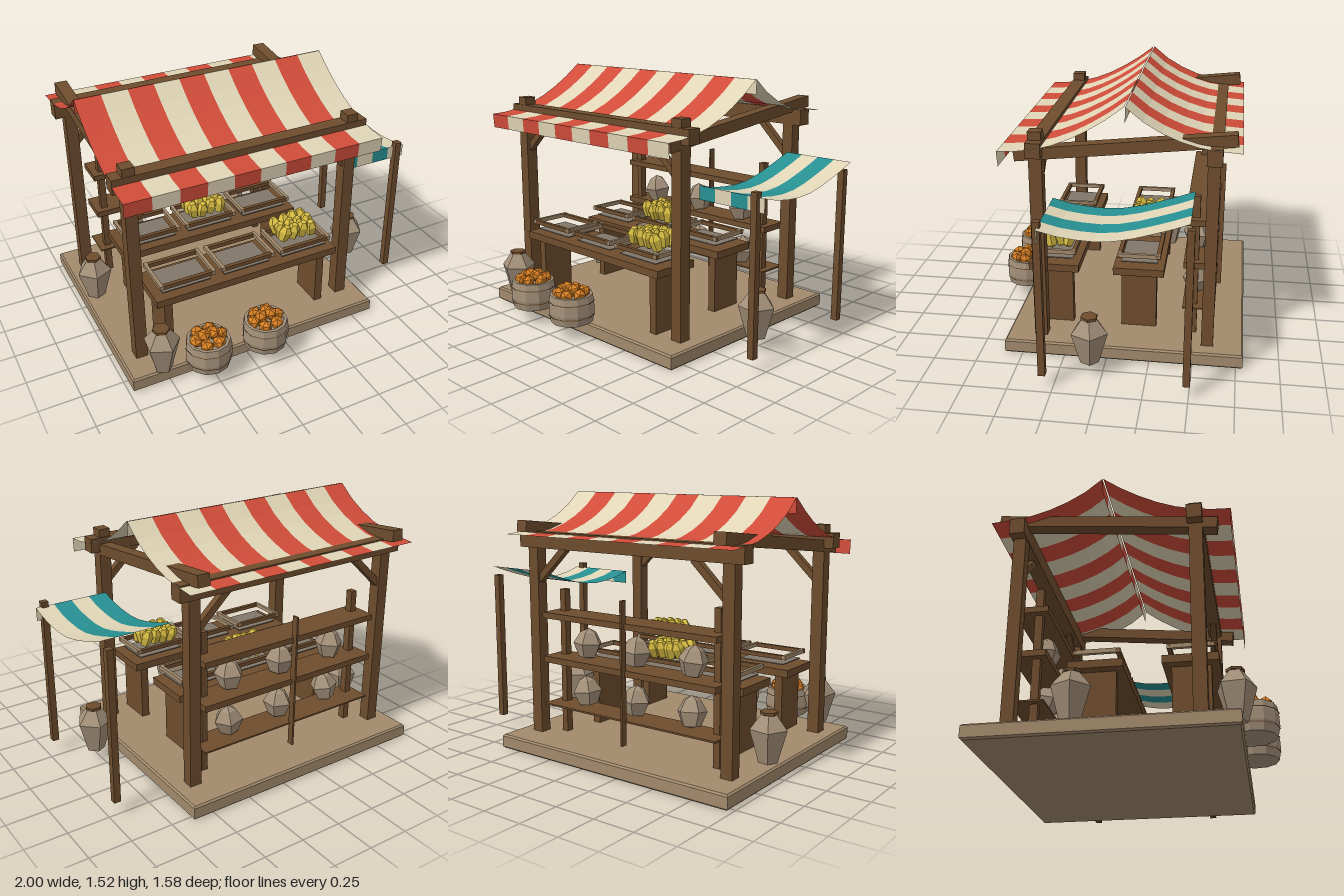
import * as THREE from 'three';

export function createModel() {
  const root = new THREE.Group();
  root.name = 'marketStall';

  const mat = (name, color, double = false) => {
    const m = new THREE.MeshStandardMaterial({ color });
    m.name = name;
    if (double) m.side = THREE.DoubleSide;
    return m;
  };
  const wood = mat('dark wood', 0x6e4d2e);
  const paleWood = mat('pale wood', 0xa28a6c);
  const clay = mat('clay', 0xa39079);
  const net = mat('tray net', 0x81766a);
  const red = mat('red cloth', 0xd04c39, true);
  const cream = mat('cream cloth', 0xe0d5b6, true);
  const teal = mat('teal cloth', 0x279092, true);
  const orange = mat('orange fruit', 0xd98023);
  const yellow = mat('yellow fruit', 0xd8bd42);

  let seed = 7;
  const rnd = () => (seed = (seed * 16807) % 2147483647) / 2147483647;

  const add = (name, geo, material, parent = root) => {
    const m = new THREE.Mesh(geo, material);
    m.name = name;
    parent.add(m);
    return m;
  };
  const group = (name) => {
    const g = new THREE.Group();
    g.name = name;
    root.add(g);
    return g;
  };
  // Box given by its limits on each axis
  const box = (name, x0, x1, y0, y1, z0, z1, material = wood, parent = root) => {
    const m = add(name, new THREE.BoxGeometry(x1 - x0, y1 - y0, z1 - z0), material, parent);
    m.position.set((x0 + x1) / 2, (y0 + y1) / 2, (z0 + z1) / 2);
    return m;
  };
  const flat = (geo) => {
    const g = geo.index ? geo.toNonIndexed() : geo;
    g.computeVertexNormals();
    return g;
  };
  // Faceted turned body from [radius, y] pairs
  const turned = (profile, sides) =>
    flat(new THREE.LatheGeometry(profile.map(([r, y]) => new THREE.Vector2(r, y)), sides));

  // Striped cloth: a [z, y] profile run from front to back, cut into stripes along x
  const cloth = (name, profile, x0, x1, count, colours) => {
    const g = group(name);
    const w = (x1 - x0) / count;
    for (let s = 0; s < count; s++) {
      const a = x0 + s * w, b = a + w, pos = [], idx = [];
      profile.forEach(([z, y], i) => {
        pos.push(a, y, z, b, y, z);
        if (i) idx.push(2 * i - 2, 2 * i - 1, 2 * i + 1, 2 * i - 2, 2 * i + 1, 2 * i);
      });
      const geo = new THREE.BufferGeometry();
      geo.setAttribute('position', new THREE.Float32BufferAttribute(pos, 3));
      geo.setIndex(idx);
      add(name + 'Stripe', flat(geo), colours[s % 2], g);
    }
  };

  // Floor with a slightly bevelled rim
  const outline = new THREE.Shape([[-0.965, -0.595], [0.62, -0.595], [0.62, 0.78], [-0.965, 0.78]]
    .map(([x, y]) => new THREE.Vector2(x, y)));
  const floor = add('floor', new THREE.ExtrudeGeometry(outline, {
    depth: 0.065, bevelEnabled: true, bevelSize: 0.01, bevelThickness: 0.01, bevelSegments: 1,
  }), paleWood);
  floor.rotation.x = -Math.PI / 2;
  floor.position.y = 0.01;

  // Frame: posts, sloping rafters, cross beams, braces
  for (const x of [-0.855, 0.505]) {
    box('frontPost', x - 0.036, x + 0.036, 0.08, 1.345, 0.365, 0.44);
    box('rearPost', x - 0.036, x + 0.036, 0.08, 1.3, -0.615, -0.545);
    const rafter = add('rafter', new THREE.BoxGeometry(0.075, 0.068, 1.23), wood);
    rafter.position.set(x, 1.273, -0.09);
    rafter.rotation.x = 0.11;
    const s = x < 0 ? 1 : -1;
    for (const z of [0.4, -0.58]) {
      const brace = add('brace', new THREE.BoxGeometry(0.29, 0.04, 0.04), wood);
      brace.position.set(x + s * 0.125, 1.115, z);
      brace.rotation.z = s * 0.76;
    }
  }
  box('frontBeam', -0.95, 0.6, 1.21, 1.297, 0.358, 0.443);
  box('rearBeam', -0.95, 0.6, 1.21, 1.306, -0.625, -0.54);

  // Canopy: two sagging halves meeting at the ridge, each with a hanging edge
  cloth('frontCanopy', [[0.594, 1.16], [0.6, 1.245], [0.5, 1.25], [0.4, 1.265], [0.3, 1.29], [0.2, 1.33],
    [0.1, 1.382], [0, 1.445], [-0.1, 1.52]], -0.95, 0.605, 10, [red, cream]);
  cloth('rearCanopy', [[-0.104, 1.435], [-0.106, 1.52], [-0.2, 1.443], [-0.3, 1.385], [-0.4, 1.343],
    [-0.5, 1.314], [-0.6, 1.3], [-0.73, 1.29]], -0.95, 0.605, 10, [red, cream]);

  // Side awning on two slim posts
  cloth('sideAwning', [[0.302, 0.89], [0.304, 0.97], [0.2, 0.943], [0.1, 0.93], [0, 0.925], [-0.1, 0.933],
    [-0.2, 0.955], [-0.3, 0.985], [-0.4, 1.018], [-0.485, 1.05]], 0.55, 1.0, 4, [teal, cream]);
  for (const z of [0.308, -0.487]) box('awningPost', 0.927, 0.967, 0.08, 1.0, z - 0.02, z + 0.02);

  // Crate of faceted fruit
  const bananas = (x, z) => {
    const g = group('yellowFruit');
    for (let i = 0; i < 4; i++) for (let j = 0; j < 3; j++) {
      const f = add('yellowFruitPiece', turned([[0, -0.06], [0.028, -0.045], [0.039, 0.02], [0.02, 0.055], [0, 0.06]], 5), yellow, g);
      f.position.set(x + (i - 1.5) * 0.06, 0.603 + rnd() * 0.016, z + (j - 1) * 0.058);
      f.rotation.set((j - 1) * 0.22, rnd() * 6, (1.5 - i) * 0.12);
    }
  };

  // Two tables, each with three open trays
  for (const z of [0.345, -0.16]) {
    const g = group('table');
    box('tableTop', -0.765, 0.415, 0.445, 0.49, z - 0.15, z + 0.15, wood, g);
    for (const x of [-0.68, 0.333]) box('tableLeg', x - 0.025, x + 0.025, 0.08, 0.445, z - 0.105, z + 0.105, wood, g);
    for (const x of [-0.56, -0.175, 0.21]) {
      box('trayBottom', x - 0.15, x + 0.15, 0.507, 0.513, z - 0.108, z + 0.108, net, g);
      for (const s of [-1, 1]) {
        const cx = x + s * 0.163, cz = z + s * 0.115;
        box('traySide', cx - 0.01, cx + 0.01, 0.545, 0.57, z - 0.128, z + 0.128, paleWood, g);
        box('trayFront', x - 0.173, x + 0.173, 0.543, 0.568, cz - 0.012, cz + 0.012, wood, g);
      }
    }
  }
  bananas(0.205, 0.325);
  bananas(-0.175, -0.16);

  // Rear rack with shelves
  for (const x of [-0.725, 0.375]) box('rackPost', x - 0.02, x + 0.02, 0.08, 0.96, -0.51, -0.465);
  box('rackDivider', -0.181, -0.169, 0.13, 0.96, -0.64, -0.6);
  for (const [y0, y1] of [[0.265, 0.275], [0.528, 0.565], [0.795, 0.83]])
    box('shelf', -0.785, 0.44, y0, y1, -0.615, -0.425);

  // Sacks on the shelves
  const sack = turned([[0, 0], [0.055, 0.01], [0.088, 0.09], [0.05, 0.155], [0, 0.18]], 5);
  for (const y of [0.275, 0.563]) for (const x of [-0.55, -0.165, 0.195]) {
    const s = add('sack', sack, clay);
    s.position.set(x, y, -0.495);
    s.rotation.set(0.08, rnd() * 6, (rnd() - 0.5) * 0.3);
  }

  // Lidded jars
  const jarBody = turned([[0, 0], [0.055, 0], [0.108, 0.19], [0.045, 0.272], [0, 0.275]], 5);
  for (const [x, z, turn] of [[0.785, 0.07, 0.5], [-0.78, 0.575, 0.2], [-0.895, -0.25, 1.1]]) {
    const g = group('jar');
    g.position.set(x, 0.085, z);
    g.rotation.y = turn;
    add('jarBody', jarBody, clay, g);
    const lid = add('jarLid', flat(new THREE.CylinderGeometry(0.05, 0.05, 0.016, 6)), wood, g);
    lid.position.y = 0.28;
  }

  // Baskets of orange fruit with thin wooden bands
  for (const x of [-0.525, -0.155]) {
    const g = group('basket');
    g.position.set(x, 0.09, 0.647);
    add('basketBody', turned([[0, 0], [0.125, 0], [0.137, 0.06], [0.135, 0.12], [0.128, 0.17], [0.11, 0.17], [0.11, 0.15], [0, 0.15]], 11), clay, g);
    for (const y of [0.045, 0.13]) {
      const band = add('basketBand', flat(new THREE.CylinderGeometry(0.139, 0.139, 0.006, 11, 1, true)), wood, g);
      band.position.y = y;
    }
    for (let i = 0; i < 8; i++) {
      const f = add('orangeFruit', new THREE.IcosahedronGeometry(0.041, 0), orange, g);
      const r = i < 6 ? 0.076 : 0.03, a = i < 6 ? i * Math.PI / 3 : i * Math.PI;
      f.position.set(r * Math.cos(a), i < 6 ? 0.174 : 0.196, r * Math.sin(a));
      f.rotation.set(rnd() * 6, rnd() * 6, 0);
    }
  }
  return root;
}
